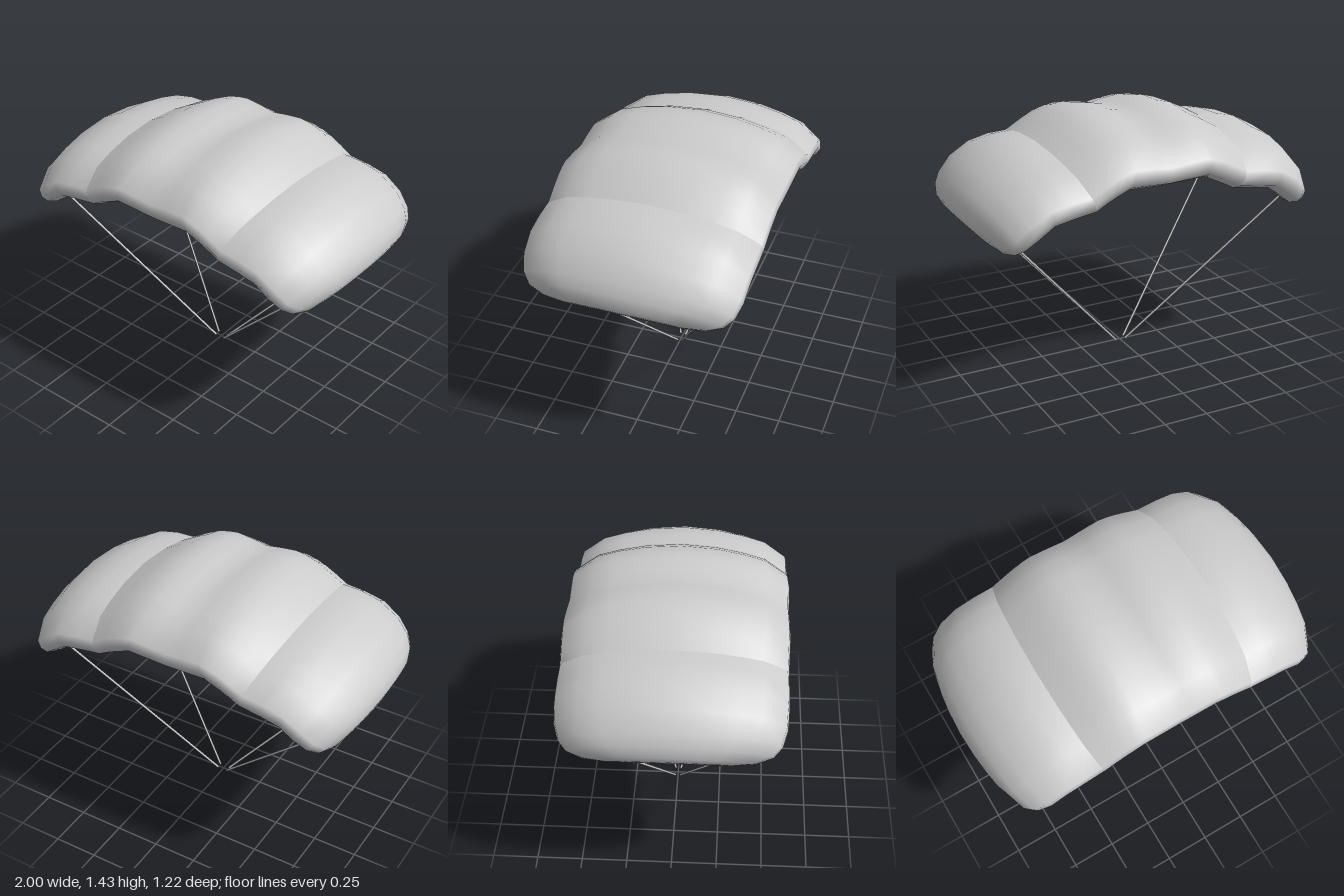
import * as THREE from 'three';

const material = new THREE.MeshStandardMaterial({ color: 0xcccccc, side: THREE.DoubleSide });

// Span stations from the middle to the tip: top x, top y, rim x, rim y, half depth
const STATIONS = [
  [0, 1.40, 0, 1.12, 0.605],
  [0.08, 1.418, 0.12, 1.125, 0.608],
  [0.17, 1.43, 0.24, 1.13, 0.61],
  [0.24, 1.425, 0.28, 1.11, 0.61],
  [0.32, 1.405, 0.32, 1.09, 0.608],
  [0.41, 1.36, 0.37, 1.065, 0.606],
  [0.515, 1.30, 0.42, 1.037, 0.604],
  [0.62, 1.30, 0.54, 1.018, 0.606],
  [0.74, 1.27, 0.655, 0.998, 0.606],
  [0.87, 1.20, 0.74, 0.935, 0.60],
  [0.95, 1.11, 0.80, 0.888, 0.575],
  [0.985, 1.05, 0.84, 0.86, 0.53],
  [1.0, 0.99, 0.87, 0.85, 0.44],
  [0.985, 0.95, 0.895, 0.86, 0.32],
];
const SEAM = 6;
const TIP = STATIONS.length - 1;

// Half of a cell's cross-section: depth fraction, height fraction, lift of the hollow underside
const HALF = [
  [0, 1, 0], [0.33, 0.95, 0], [0.58, 0.85, 0], [0.78, 0.73, 0], [0.985, 0.43, 0],
  [1, 0.27, 0], [0.96, 0.12, 0], [0.86, 0.02, 0], [0.76, 0, 0.005], [0.62, 0, 0.03],
  [0.35, 0, 0.06], [0, 0, 0.075],
];
const RING = [...HALF, ...HALF.slice(1, -1).reverse().map(([z, t, l]) => [-z, t, l])];

// Signed station index: negative values mirror to the other side
function ringPoints(index) {
  const [tx, ty, bx, by, w] = STATIONS[Math.abs(index)];
  const side = Math.sign(index);
  return RING.map(([z, t, lift]) => [
    side * (bx + (tx - bx) * t),
    by + (ty - by) * t + lift,
    z * w,
  ]);
}

// Skin a run of stations, closing the tip where the run reaches it
function canopyPanel(name, from, to) {
  const positions = [];
  const indices = [];
  const n = RING.length;
  for (let s = from; s <= to; s++) positions.push(...ringPoints(s).flat());
  for (let r = 0; r < to - from; r++) {
    for (let i = 0; i < n; i++) {
      const j = (i + 1) % n;
      const a = r * n + i, b = r * n + j;
      indices.push(a, b, a + n, b, b + n, a + n);
    }
  }
  for (const s of [from, to]) {
    if (Math.abs(s) !== TIP) continue;
    const start = (s - from) * n;
    const centre = positions.length / 3;
    positions.push(Math.sign(s) * 0.965, 0.925, 0);
    for (let i = 0; i < n; i++) {
      const a = start + i, b = start + (i + 1) % n;
      if (s > 0) indices.push(a, b, centre);
      else indices.push(b, a, centre);
    }
  }
  const geometry = new THREE.BufferGeometry();
  geometry.setAttribute('position', new THREE.Float32BufferAttribute(positions, 3));
  geometry.setIndex(indices);
  geometry.computeVertexNormals();
  const mesh = new THREE.Mesh(geometry, material);
  mesh.name = name;
  return mesh;
}

// Thin straight line from the harness to the canopy rim
function suspensionLine(name, sx, sz) {
  const start = new THREE.Vector3(sx * 0.03, 0.005, sz * 0.014);
  const end = new THREE.Vector3(sx * 0.825, 0.9, sz * 0.4);
  const direction = end.clone().sub(start);
  const mesh = new THREE.Mesh(new THREE.CylinderGeometry(0.007, 0.007, direction.length(), 8), material);
  mesh.position.copy(start).add(end).multiplyScalar(0.5);
  mesh.quaternion.setFromUnitVectors(new THREE.Vector3(0, 1, 0), direction.normalize());
  mesh.name = name;
  return mesh;
}

export function createModel() {
  const model = new THREE.Group();
  model.name = 'parachute';

  // Inflated canopy: separate panels keep the two outer seams crisp
  const canopy = new THREE.Group();
  canopy.name = 'canopy';
  canopy.add(
    canopyPanel('rightCell', -TIP, -SEAM),
    canopyPanel('centreCells', -SEAM, SEAM),
    canopyPanel('leftCell', SEAM, TIP),
  );
  model.add(canopy);

  // Four lines meeting below the canopy
  for (const [sideName, sx] of [['Left', 1], ['Right', -1]]) {
    for (const [endName, sz] of [['front', 1], ['back', -1]]) {
      model.add(suspensionLine(endName + sideName + 'Line', sx, sz));
    }
  }
  return model;
}
